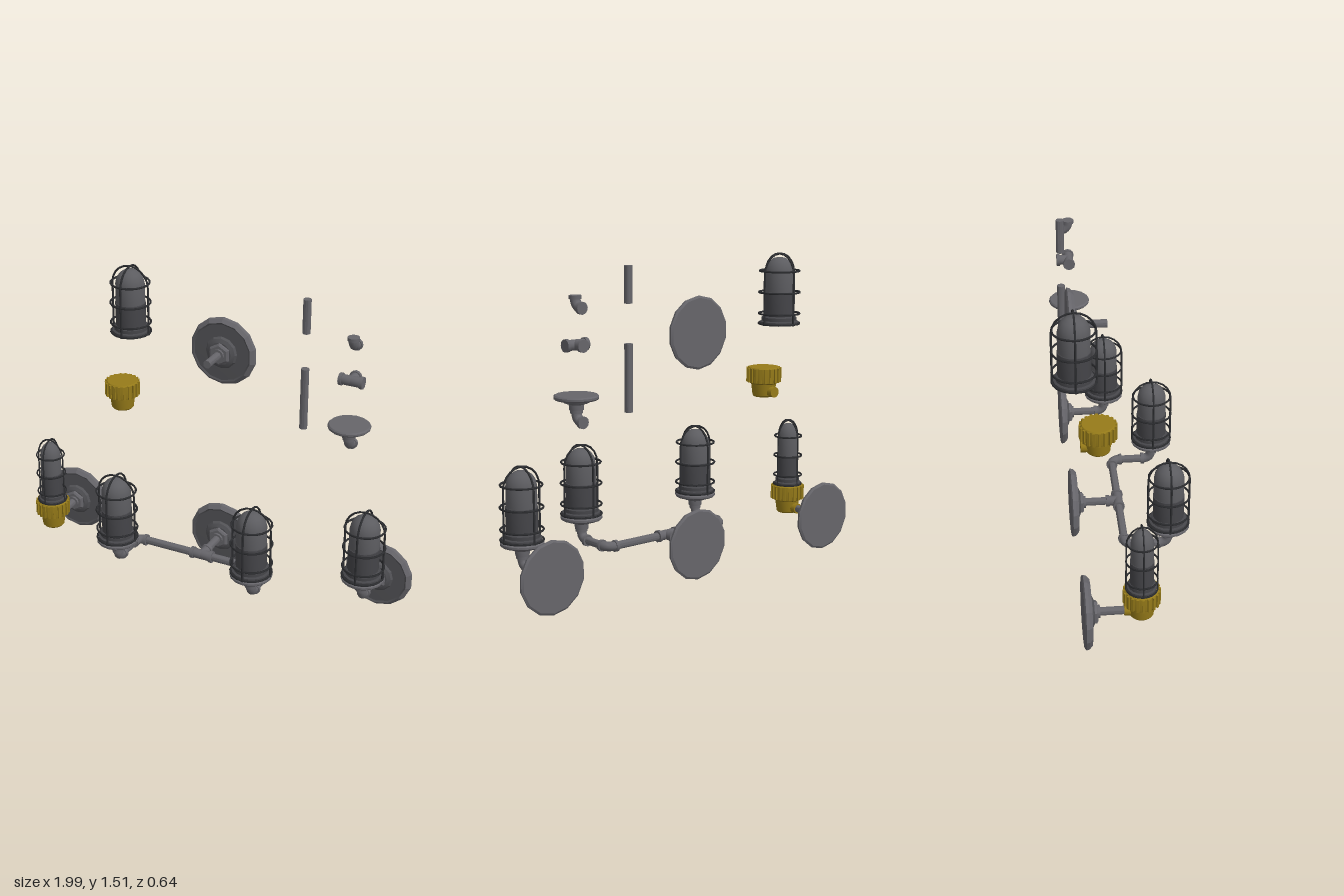
import * as THREE from 'three';
import { toCreasedNormals } from 'three/addons/utils/BufferGeometryUtils.js';

const V = (x, y, z) => new THREE.Vector3(x, y, z);
const UP = V(0, 1, 0), BACK = V(0, 0, -1), FRONT = V(0, 0, 1);

function mat(name, color) {
  const m = new THREE.MeshStandardMaterial({ color });
  m.name = name;
  return m;
}

export function createModel() {
  const metal = mat('grey metal', 0x66656a);
  const face = mat('dark metal face', 0x535357);
  const glass = mat('smoked glass', 0x5c5c60);
  const holder = mat('dark bulb holder', 0x454549);
  const wire = mat('cage wire', 0x2c2d30);
  const brass = mat('brass', 0x967b19);

  const root = new THREE.Group();
  root.name = 'pipeLampSet';

  function add(parent, name, geo, material, crease = 0.6) {
    const m = new THREE.Mesh(toCreasedNormals(geo, crease), material);
    m.name = name;
    parent.add(m);
    return m;
  }
  function group(name, x, y, z) {
    const g = new THREE.Group();
    g.name = name;
    g.position.set(x, y, z);
    root.add(g);
    return g;
  }
  const lathe = (pts, n) => new THREE.LatheGeometry(pts.map(p => new THREE.Vector2(p[0], p[1])), n);

  // Round bar between two points
  function pipe(parent, name, a, b, r = 0.019, material = metal) {
    const d = b.clone().sub(a);
    const m = add(parent, name, new THREE.CylinderGeometry(r, r, d.length(), 12), material);
    m.position.copy(a).add(b).multiplyScalar(0.5);
    m.quaternion.setFromUnitVectors(UP, d.normalize());
    return m;
  }

  // Bent fitting with a collar on each of its two open ends
  function elbow(parent, at, a, b) {
    const end = d => at.clone().addScaledVector(d, 0.045);
    const curve = new THREE.QuadraticBezierCurve3(end(a), at.clone(), end(b));
    add(parent, 'elbow', new THREE.TubeGeometry(curve, 8, 0.023, 12), metal);
    for (const d of [a, b])
      pipe(parent, 'elbowCollar', at.clone().addScaledVector(d, 0.036), at.clone().addScaledVector(d, 0.052), 0.028);
  }

  // Three-way fitting: a run along x and a branch to the back
  function tee(parent, at) {
    for (const d of [V(1, 0, 0), V(-1, 0, 0), BACK]) {
      const tip = at.clone().addScaledVector(d, 0.058);
      pipe(parent, 'tee', at, tip, 0.024);
      pipe(parent, 'teeCollar', at.clone().addScaledVector(d, 0.042), tip, 0.029);
    }
  }

  // Round wall plate with a hex hub and a pipe stub, axis along z
  function wallPlate(parent, length) {
    const rim = add(parent, 'wallPlateRim', lathe([[0, 0], [0.16, 0], [0.17, 0.006], [0.166, 0.02], [0.15, 0.035]], 14), metal, 0.3);
    const disc = add(parent, 'wallPlateFace', lathe([[0.15, 0.035], [0.142, 0.031], [0, 0.033]], 14), face, 0.3);
    const hub = add(parent, 'hub', lathe([[0.082, 0.031], [0.074, 0.042], [0.056, 0.05], [0, 0.05]], 12), face, 0.3);
    const nut = add(parent, 'hexNut', lathe([[0.055, 0.045], [0.055, 0.06], [0.046, 0.066], [0, 0.066]], 6), metal, 0.3);
    for (const m of [rim, disc, hub, nut]) m.rotation.x = Math.PI / 2;
    pipe(parent, 'hubCollar', V(0, 0, 0.06), V(0, 0, 0.076), 0.03);
    pipe(parent, 'wallPipe', V(0, 0, 0.05), V(0, 0, length));
  }

  // Round lamp seat that stands on an elbow; origin at the pipe corner
  function lampSeat(parent, at) {
    elbow(parent, at, UP, BACK);
    const seat = add(parent, 'lampSeat', lathe([[0, 0.05], [0.032, 0.05], [0.034, 0.075], [0.055, 0.082], [0.062, 0.093],
      [0.094, 0.096], [0.1, 0.102], [0.1, 0.111], [0.094, 0.117], [0, 0.117]], 16), metal, 0.45);
    seat.position.copy(at);
  }

  // Caged lamp standing on y = 0
  function lamp(parent, at, s = 1) {
    const g = new THREE.Group();
    g.name = 'cagedLamp';
    g.position.copy(at);
    g.scale.set(s, 1, s);
    parent.add(g);
    add(g, 'lampFoot', lathe([[0, 0], [0.092, 0], [0.092, 0.016], [0.082, 0.02], [0.082, 0.036], [0.073, 0.042], [0, 0.042]], 16), holder, 0.45);
    add(g, 'bulbHolder', lathe([[0.073, 0.04], [0.074, 0.155], [0.07, 0.157]], 16), holder, 0.45);
    add(g, 'glassDome', lathe([[0.071, 0.156], [0.071, 0.25], [0.065, 0.277], [0.05, 0.3], [0.027, 0.316], [0, 0.32]], 16), glass);
    for (const y of [0.006, 0.053, 0.154, 0.255]) {
      const ring = add(g, 'cageRing', new THREE.TorusGeometry(y > 0.25 ? 0.094 : 0.097, 0.005, 6, 20), wire, 1.1);
      ring.rotation.x = Math.PI / 2;
      ring.position.y = y;
    }
    for (let i = 0; i < 4; i++) {
      const a = i * Math.PI / 2, x = 0.096 * Math.cos(a), z = 0.096 * Math.sin(a);
      pipe(g, 'cageBar', V(x, 0, z), V(x, 0.24, z), 0.005, wire);
    }
    for (let i = 0; i < 2; i++) {
      const arch = add(g, 'cageArch', new THREE.TorusGeometry(0.096, 0.005, 6, 10, Math.PI), wire, 1.1);
      arch.position.y = 0.24;
      arch.rotation.y = i * Math.PI / 2;
    }
  }

  // Ribbed brass socket with a nub at the back; origin at pipe height
  function socket(parent, at) {
    const g = new THREE.Group();
    g.name = 'brassSocket';
    g.position.copy(at);
    parent.add(g);
    add(g, 'socketBody', lathe([[0, -0.027], [0.048, -0.027], [0.054, -0.02], [0.061, 0.035], [0.075, 0.042],
      [0.077, 0.05], [0.077, 0.112], [0.073, 0.117], [0, 0.117]], 20), brass, 0.45);
    for (let i = 0; i < 20; i++) {
      const a = i * Math.PI / 10;
      const rib = add(g, 'socketRib', new THREE.BoxGeometry(0.012, 0.068, 0.013), brass);
      rib.position.set(0.078 * Math.sin(a), 0.079, 0.078 * Math.cos(a));
      rib.rotation.y = a;
    }
    pipe(g, 'socketNub', V(0, 0, 0), V(0, 0, -0.078), 0.026, brass);
  }

  const PY = 0.175, PZ = -0.22;

  // Wall lamp with brass socket
  const brassLamp = group('brassWallLamp', -0.83, PY, PZ);
  wallPlate(brassLamp, 0.2);
  socket(brassLamp, V(0, 0, 0.262));
  lamp(brassLamp, V(0, 0.115, 0.262), 0.73);

  // Wall lamp on an elbow
  const single = group('singleWallLamp', 0.83, PY, PZ);
  wallPlate(single, 0.2);
  lampSeat(single, V(0, 0, 0.237));
  lamp(single, V(0, 0.117, 0.237));

  // Two-armed wall lamp
  const double = group('doubleWallLamp', 0, PY, PZ);
  wallPlate(double, 0.2);
  tee(double, V(0, 0, 0.235));
  for (const s of [-1, 1]) {
    const x = 0.355 * s;
    pipe(double, 'armPipe', V(0.04 * s, 0, 0.235), V(x - 0.04 * s, 0, 0.235));
    elbow(double, V(x, 0, 0.235), V(-s, 0, 0), FRONT);
    pipe(double, 'armPipe', V(x, 0, 0.27), V(x, 0, 0.405));
    lampSeat(double, V(x, 0, 0.438));
    lamp(double, V(x, 0.117, 0.438));
  }

  // Loose parts above the lamps
  lamp(group('looseLamp', -0.5, 1.17, PZ), V(0, 0, 0));
  socket(group('looseSocket', -0.5, 0.838, -0.12), V(0, 0, 0));
  wallPlate(group('looseWallPlate', 0, 1.172, PZ), 0.185);
  const rods = group('looseRods', 0.412, 0, PZ);
  pipe(rods, 'longRod', V(0, 0.855, 0), V(0, 1.16, 0));
  pipe(rods, 'shortRod', V(0, 1.337, 0), V(0, 1.503, 0));
  const fittings = group('looseFittings', 0.66, 0, -0.168);
  elbow(fittings, V(0, 1.334, 0), UP, BACK);
  tee(fittings, V(0, 1.172, 0));
  lampSeat(fittings, V(0, 0.838, 0));

  return root;
}
